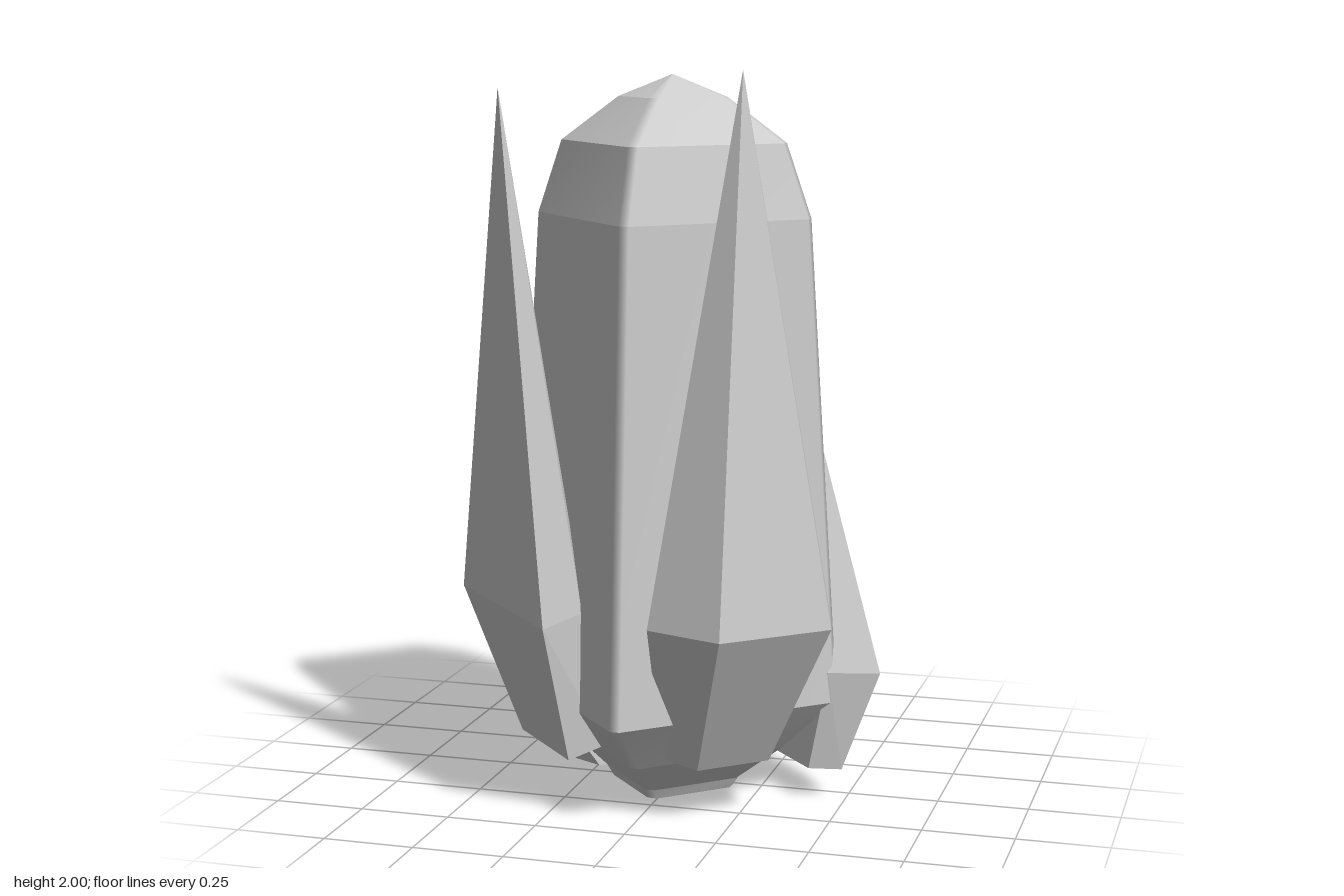
import * as THREE from 'three';
import { ConvexGeometry } from 'three/addons/geometries/ConvexGeometry.js';

const stone = new THREE.MeshStandardMaterial({ color: 0xcccccc });
stone.name = 'pale grey';

// Square section standing on its corners, each corner cut by a narrow bevel
function ring(r, y) {
  const points = [];
  const c = Math.min(0.014, r * 0.1);
  for (let k = 0; k < 4; k++) {
    const a = k * Math.PI / 2, s = Math.sin(a), q = Math.cos(a);
    for (const t of [-c, c]) points.push([s * (r - c / 2) + q * t, y, q * (r - c / 2) - s * t]);
  }
  return points;
}

// Band between two sections: soft around the corners, hard at top and bottom
function band([r0, y0], [r1, y1]) {
  const position = [...ring(r0, y0), ...ring(r1, y1)].flat();
  const index = [];
  for (let i = 0; i < 8; i++) {
    const j = (i + 1) % 8;
    index.push(i, j, j + 8);
    if (r1 > 0) index.push(i, j + 8, i + 8);
  }
  const geometry = new THREE.BufferGeometry();
  geometry.setAttribute('position', new THREE.Float32BufferAttribute(position, 3));
  geometry.setIndex(index);
  geometry.computeVertexNormals();
  return geometry;
}

// Faceted fin: a tip over a mid and a bottom section, each [left, right, out, y]
function fin(name, angle, tip, sections) {
  const points = [new THREE.Vector3(...tip)];
  for (const [left, right, out, y] of sections) {
    points.push(new THREE.Vector3(left, y, out), new THREE.Vector3(right, y, out));
  }
  const mesh = new THREE.Mesh(new ConvexGeometry(points), stone);
  mesh.name = name;
  mesh.rotation.y = THREE.MathUtils.degToRad(angle);
  return mesh;
}

export function createModel() {
  const model = new THREE.Group();
  model.name = 'finnedTower';

  // Tapered body with a stepped cap: [corner radius, height]
  const body = new THREE.Group();
  body.name = 'body';
  const profile = [[0, 0], [0.18, 0], [0.2, 0.03], [0.33, 0.13], [0.48, 0.275],
    [0.395, 1.6], [0.325, 1.8], [0.158, 1.92], [0, 1.98]];
  for (let i = 0; i < profile.length - 1; i++) {
    const mesh = new THREE.Mesh(band(profile[i], profile[i + 1]), stone);
    mesh.name = i < 4 ? 'base' : i < 6 ? 'shaft' : 'cap';
    body.add(mesh);
  }
  body.position.set(-0.005, 0, 0.02);
  body.rotation.y = -0.05;
  model.add(body);

  // Two tall fins at the front
  model.add(fin('frontLeftFin', 42, [-0.007, 2, 0.403], [
    [-0.172, 0.157, 0.602, 0.555], [-0.28, 0.266, 0.398, 0.555],
    [-0.127, 0.089, 0.388, 0.15], [-0.165, 0.127, 0.25, 0.15]]));
  model.add(fin('frontRightFin', -47.6, [-0.04, 1.95, 0.505], [
    [-0.324, 0.24, 0.511, 0.547], [-0.214, 0.122, 0.345, 0.547],
    [-0.17, 0.15, 0.4, 0.15], [-0.13, 0.067, 0.25, 0.15]]));

  // Two short, broad fins at the back
  model.add(fin('backLeftFin', 132, [-0.053, 1.015, 0.41], [
    [-0.421, 0.326, 0.415, 0.36], [-0.353, 0.26, 0.29, 0.36],
    [-0.369, 0.271, 0.327, 0.085], [-0.32, 0.22, 0.25, 0.085]]));
  model.add(fin('backRightFin', 222, [-0.015, 1.015, 0.318], [
    [-0.386, 0.395, 0.42, 0.355], [-0.375, 0.385, 0.26, 0.355],
    [-0.19, 0.19, 0.31, 0], [-0.15, 0.15, 0.2, 0]]));

  return model;
}
